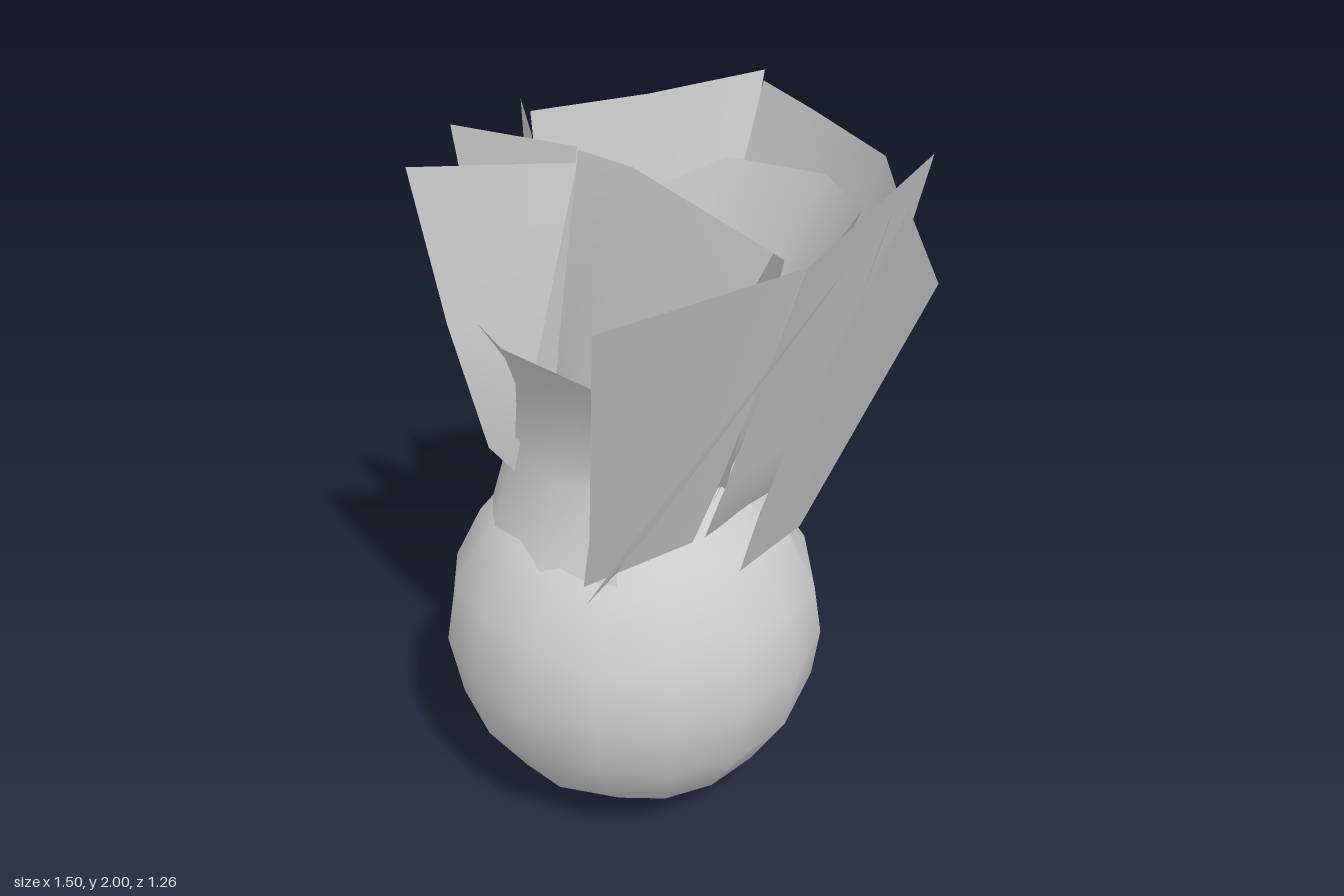
import * as THREE from 'three';

const skin = new THREE.MeshStandardMaterial({ color: 0xcccccc, side: THREE.DoubleSide });
skin.name = 'pale grey';

// Open sheet lofted through rows of points, from the base up to the tip
function leaf(name, rows) {
  const cols = rows[0].length;
  const index = [];
  for (let r = 0; r < rows.length - 1; r++) {
    for (let c = 0; c < cols - 1; c++) {
      const a = r * cols + c;
      index.push(a, a + 1, a + cols + 1, a, a + cols + 1, a + cols);
    }
  }
  const geometry = new THREE.BufferGeometry();
  geometry.setAttribute('position', new THREE.Float32BufferAttribute(rows.flat(2), 3));
  geometry.setIndex(index);
  geometry.computeVertexNormals();
  const mesh = new THREE.Mesh(geometry, skin);
  mesh.name = name;
  return mesh;
}

// Bulb: a box rounded into a ball, with a square opening left at the top
function bulb() {
  const radius = 0.55;
  const geometry = new THREE.BoxGeometry(2, 2, 2, 4, 4, 4);
  const p = geometry.attributes.position;
  const inOpening = (i) => p.getY(i) > 0.99 && Math.abs(p.getX(i)) < 0.6 && Math.abs(p.getZ(i)) < 0.6;
  const kept = [];
  const source = geometry.index.array;
  for (let i = 0; i < source.length; i += 3) {
    const face = [source[i], source[i + 1], source[i + 2]];
    if (!face.every(inOpening)) kept.push(...face);
  }
  geometry.setIndex(kept);
  geometry.clearGroups();
  const v = new THREE.Vector3();
  const bend = (c) => Math.tan(c * Math.PI / 4);
  for (let i = 0; i < p.count; i++) {
    v.set(bend(p.getX(i)), bend(p.getY(i)), bend(p.getZ(i))).normalize();
    geometry.attributes.normal.setXYZ(i, v.x, v.y, v.z);
    p.setXYZ(i, v.x * radius, v.y * radius, v.z * radius);
  }
  const mesh = new THREE.Mesh(geometry, skin);
  mesh.name = 'bulb';
  mesh.position.set(-0.14, radius, 0.085);
  return mesh;
}

export function createModel() {
  const group = new THREE.Group();
  group.name = 'sprouting bulb';
  group.add(bulb());

  // Short front leaf, flaring outward at its tip
  group.add(leaf('frontLeaf', [
    [[-0.48, 0.92, 0.25], [-0.42, 0.92, 0.38], [-0.28, 0.92, 0.46], [-0.02, 0.92, 0.47], [0.16, 0.92, 0.34]],
    [[-0.45, 1.15, 0.2], [-0.39, 1.15, 0.32], [-0.28, 1.15, 0.38], [-0.08, 1.15, 0.39], [0.08, 1.15, 0.28]],
    [[-0.44, 1.35, 0.24], [-0.36, 1.35, 0.33], [-0.24, 1.35, 0.38], [0.02, 1.35, 0.36], [0.14, 1.32, 0.28]],
    [[-0.46, 1.5, 0.32], [-0.37, 1.51, 0.42], [-0.18, 1.53, 0.46], [0.12, 1.52, 0.38], [0.21, 1.48, 0.35]],
  ]));

  // Two inner leaves rising from the opening and meeting along a ridge
  group.add(leaf('innerFrontLeaf', [
    [[-0.33, 1.0, 0.24], [-0.1, 1.0, 0.33], [0.1, 1.0, 0.26]],
    [[-0.32, 1.4, 0.2], [-0.1, 1.4, 0.24], [0.24, 1.4, 0.2]],
    [[-0.3, 1.96, 0.13], [-0.12, 1.96, 0.08], [0.44, 1.93, 0.06]],
  ]));
  group.add(leaf('innerBackLeaf', [
    [[-0.22, 1.02, -0.08], [-0.03, 1.03, -0.1], [0.08, 1.03, -0.08]],
    [[-0.3, 1.95, 0.12], [-0.12, 1.95, 0.07], [0.47, 1.92, 0.05]],
  ]));

  // Curved lining leaf leaning back from the opening
  group.add(leaf('liningLeaf', [
    [[-0.33, 1.02, -0.08], [-0.24, 1.02, -0.11], [-0.1, 1.03, -0.12], [0.03, 1.02, -0.11], [0.1, 1.02, -0.02]],
    [[-0.38, 1.75, -0.15], [-0.31, 1.82, -0.36], [0.0, 1.85, -0.46], [0.27, 1.87, -0.36], [0.46, 1.9, -0.1]],
  ]));

  // Leaves on the +x side
  group.add(leaf('frontLeftLeaf', [
    [[0.12, 0.93, 0.42], [0.2, 1.0, 0.12]],
    [[0.22, 1.15, 0.46], [0.28, 1.2, 0.1]],
    [[0.51, 1.91, 0.62], [0.55, 1.93, 0.05]],
  ]));
  group.add(leaf('leftLeafFront', [
    [[0.18, 0.92, 0.45], [0.15, 0.96, 0.33]],
    [[0.35, 1.2, 0.37], [0.24, 1.2, 0.24]],
    [[0.7, 1.95, 0.1], [0.53, 1.87, -0.08]],
  ]));
  group.add(leaf('leftLeafBack', [
    [[0.28, 0.91, 0.02], [0.17, 0.98, -0.13]],
    [[0.48, 1.15, -0.02], [0.22, 1.2, -0.18]],
    [[0.745, 1.9, -0.19], [0.4, 1.91, -0.4]],
  ]));
  group.add(leaf('backLeftLeaf', [
    [[0.2, 1.0, 0.08], [0.0, 0.9, -0.31]],
    [[0.27, 1.2, 0.06], [0.12, 1.2, -0.5]],
    [[0.54, 1.92, 0.04], [0.33, 2.0, -0.54]],
  ]));

  // Broad back leaf, bent in three panels
  group.add(leaf('backLeaf', [
    [[-0.4, 0.97, -0.18], [-0.25, 0.92, -0.3], [-0.05, 0.92, -0.3], [0.05, 0.97, -0.22]],
    [[-0.38, 1.2, -0.32], [-0.25, 1.2, -0.42], [0.04, 1.2, -0.42], [0.15, 1.2, -0.34]],
    [[-0.38, 1.98, -0.54], [-0.15, 1.97, -0.53], [0.18, 1.95, -0.51], [0.36, 1.93, -0.4]],
  ]));

  // Leaves on the -x side
  group.add(leaf('backRightLeaf', [
    [[-0.37, 0.97, -0.28], [-0.48, 0.85, -0.16], [-0.5, 0.96, 0.06]],
    [[-0.4, 1.2, -0.4], [-0.53, 1.18, -0.16], [-0.56, 1.18, 0.06]],
    [[-0.49, 1.96, -0.63], [-0.57, 1.94, -0.28], [-0.65, 1.94, 0.06]],
  ]));
  group.add(leaf('rightLeaf', [
    [[-0.49, 0.95, 0.1], [-0.45, 0.95, 0.22]],
    [[-0.62, 1.18, 0.08], [-0.46, 1.2, 0.18]],
    [[-0.75, 1.94, 0.03], [-0.48, 1.95, 0.16]],
  ]));
  group.add(leaf('frontRightLeaf', [
    [[-0.47, 0.9, 0.26], [-0.36, 1.12, 0.18]],
    [[-0.55, 1.4, 0.28], [-0.37, 1.4, 0.15]],
    [[-0.67, 1.95, 0.3], [-0.32, 1.96, 0.12]],
  ]));
  group.add(leaf('frontRightOuterLeaf', [
    [[-0.37, 1.12, 0.41], [-0.25, 1.1, 0.4]],
    [[-0.43, 1.5, 0.48], [-0.24, 1.42, 0.32]],
    [[-0.48, 1.95, 0.54], [-0.29, 1.93, 0.14]],
  ]));

  return group;
}
